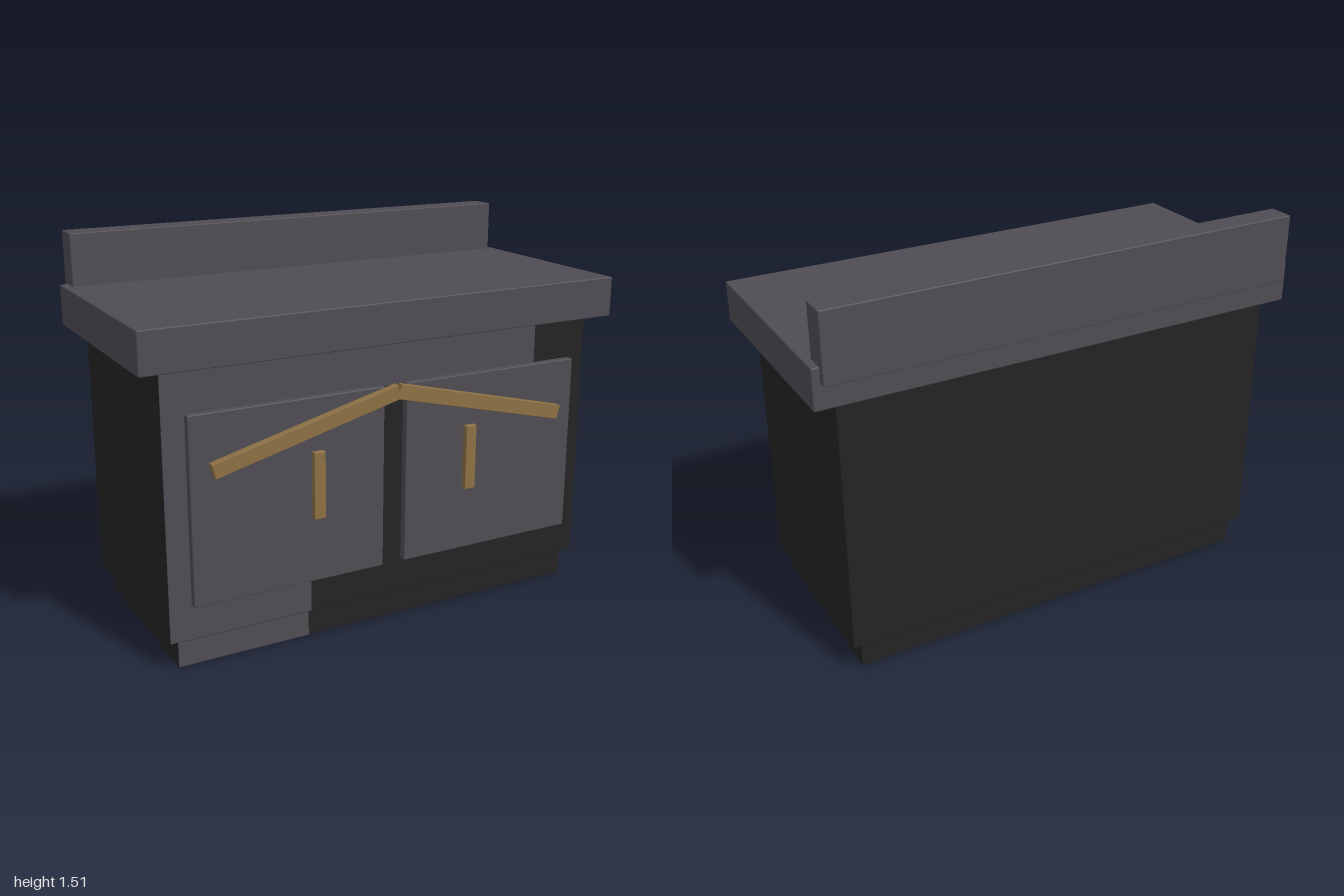
import * as THREE from 'three';
import { RoundedBoxGeometry } from 'three/addons/geometries/RoundedBoxGeometry.js';

const material = (name, color) => {
  const m = new THREE.MeshStandardMaterial({ color });
  m.name = name;
  return m;
};

export function createModel() {
  const model = new THREE.Group();
  model.name = 'cabinet';
  const grey = material('slate grey', 0x4f4b53);
  const dark = material('charcoal', 0x232323);
  const brass = material('brass', 0x8c7043);

  // Box given by its limits on each axis, with an optional small edge bevel
  function box(name, mat, [x0, x1], [y0, y1], [z0, z1], bevel = 0) {
    const size = [x1 - x0, y1 - y0, z1 - z0];
    const geometry = bevel
      ? new RoundedBoxGeometry(...size, 1, bevel)
      : new THREE.BoxGeometry(...size);
    const mesh = new THREE.Mesh(geometry, mat);
    mesh.name = name;
    mesh.position.set((x0 + x1) / 2, (y0 + y1) / 2, (z0 + z1) / 2);
    model.add(mesh);
    return mesh;
  }

  // Carcass
  box('plinth', dark, [-0.875, 0.875], [0, 0.115], [-0.388, 0.375], 0.003);
  box('body', dark, [-0.913, 0.913], [0.113, 1.142], [-0.414, 0.402], 0.004);

  // Worktop and raised back board
  box('worktop', grey, [-1, 1], [1.14, 1.3], [-0.442, 0.456], 0.005);
  box('backBoard', grey, [-0.97, 0.97], [1.236, 1.506], [-0.47, -0.365], 0.004);

  // Painted grey areas of the front
  const paint = [0.4, 0.404];
  box('frontPaintLeft', grey, [-0.912, -0.34], [0.117, 0.97], paint);
  box('frontPaintTop', grey, [-0.912, 0.665], [0.97, 1.14], paint);
  box('plinthPaint', grey, [-0.874, -0.34], [0.001, 0.113], [0.373, 0.377]);

  // Doors, handles and sloping trim bars, mirrored
  const span = (side, a, b) => (side > 0 ? [a, b] : [-b, -a]);
  for (const side of [-1, 1]) {
    const label = side > 0 ? 'left' : 'right';
    box(label + 'Door', grey, span(side, 0.048, 0.83), [0.258, 0.98], [0.41, 0.443], 0.004);
    box(label + 'Handle', brass, span(side, 0.309, 0.355), [0.516, 0.776], [0.443, 0.467], 0.002);

    const bar = box(label + 'TrimBar', brass, [-0.387, 0.387], [-0.029, 0.029], [0.443, 0.472], 0.002);
    bar.position.x = side * 0.375;
    bar.position.y = 0.866;
    bar.rotation.z = -side * 0.246;
  }
  return model;
}
